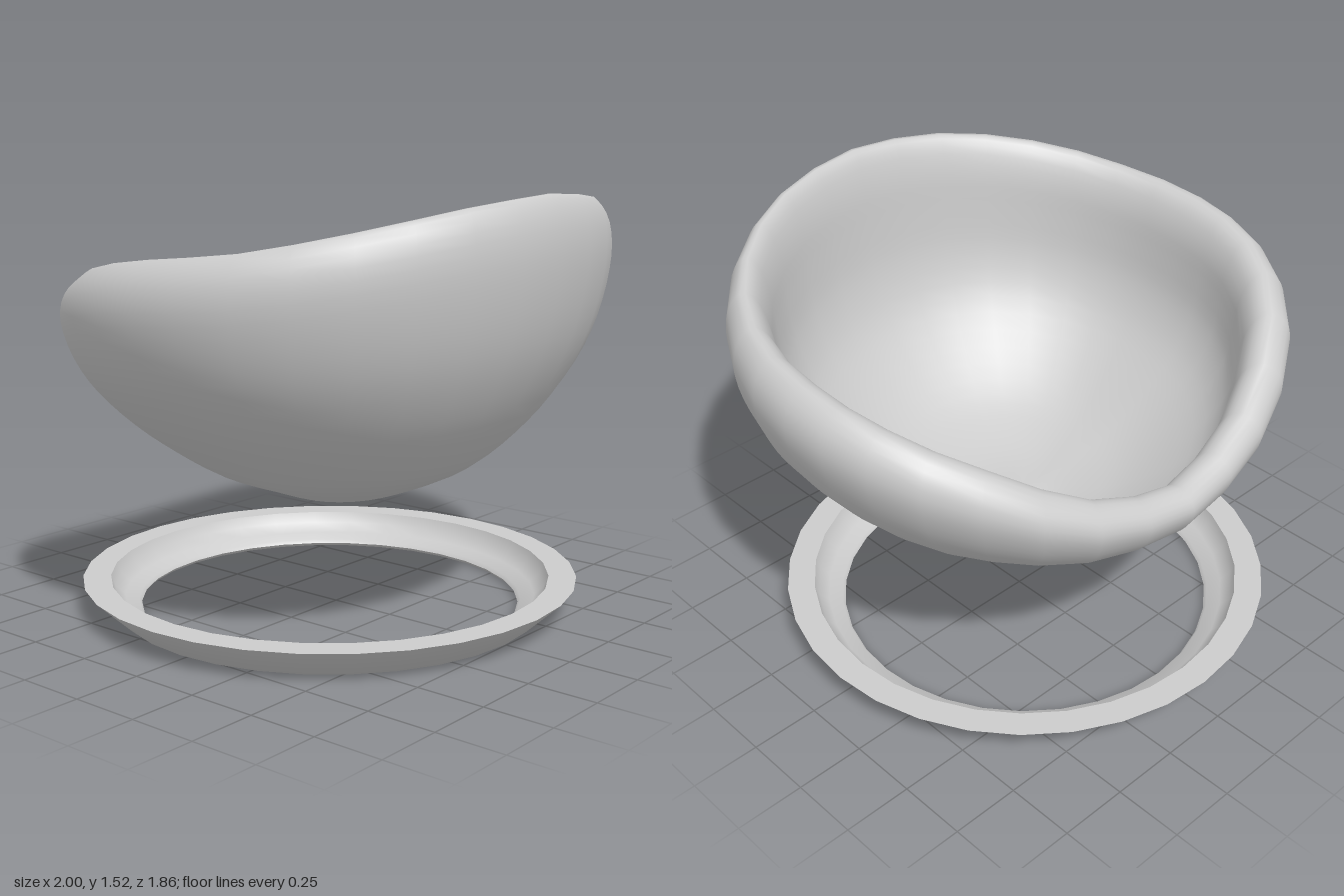
import * as THREE from 'three';
import { mergeVertices, toCreasedNormals } from 'three/addons/utils/BufferGeometryUtils.js';

const SIDES = 32;
const BASE_Y = 0.415;
const points = (list) => list.map(([x, y]) => new THREE.Vector2(x, y));

// Shell section: radius fraction and height fraction, from the underside
// up the outer wall, over the thick rounded rim and down the thin hollow
const section = new THREE.SplineCurve(points([
  [0, 0], [0.16, 0.01], [0.3, 0.057], [0.45, 0.125], [0.6, 0.235], [0.75, 0.37],
  [0.88, 0.525], [0.96, 0.675], [1, 0.825], [0.985, 0.935], [0.925, 1], [0.865, 0.97],
  [0.825, 0.87], [0.81, 0.73], [0.785, 0.57], [0.71, 0.41], [0.57, 0.26],
  [0.42, 0.145], [0.28, 0.08], [0.14, 0.04], [0, 0.03],
])).getPoints(60);

// Rim height from the low back to the high front, in equal steps of angle
const rim = new THREE.SplineCurve(points(
  [0.87, 0.97, 1.165, 1.28, 1.33, 1.365, 1.43, 1.495, 1.525].map((y, i) => [i, y])));

function bowlGeometry() {
  const n = section.length;
  const position = [];
  const index = [];
  for (let j = 0; j < SIDES; j++) {
    const a = (j / SIDES) * Math.PI * 2;
    const s = Math.sin(a);
    // Plan outline: slightly squarer at the back
    const bulge = 1 + (s < 0 ? 0.045 : 0.015) * Math.sin(2 * a) ** 2;
    const rx = Math.cos(a) * bulge;
    const rz = s * bulge * (s < 0 ? 0.825 : 0.93);
    const t = THREE.MathUtils.clamp(Math.asin(THREE.MathUtils.clamp(s, -1, 1)) / Math.PI + 0.5, 0, 1);
    const height = rim.getPoint(t).y - BASE_Y;
    section.forEach((p, i) => {
      // The front wall is fuller low down
      const r = p.x + 0.38 * Math.max(s, 0) * p.x * (1 - p.x);
      position.push(rx * r, BASE_Y + height * p.y, rz * r);
      if (i === n - 1) return;
      const p0 = j * n + i;
      const p1 = ((j + 1) % SIDES) * n + i;
      if (i < n - 2) index.push(p0, p0 + 1, p1 + 1);
      if (i > 0) index.push(p0, p1 + 1, p1);
    });
  }
  const geometry = new THREE.BufferGeometry();
  geometry.setAttribute('position', new THREE.Float32BufferAttribute(position, 3));
  geometry.setIndex(index);
  const merged = mergeVertices(geometry, 1e-5);
  merged.computeVertexNormals();
  return merged;
}

export function createModel() {
  const group = new THREE.Group();
  const material = new THREE.MeshStandardMaterial({ color: 0xcccccc });

  // Scooped bowl seat
  const bowl = new THREE.Mesh(bowlGeometry(), material);
  bowl.name = 'bowlSeat';
  group.add(bowl);

  // Flared support ring with a flat top and a dished inner wall
  const profile = points([
    [0.775, 0], [0.9, 0.115], [0.8, 0.115], [0.785, 0.075], [0.75, 0.042], [0.7, 0.025],
    [0.69, 0.012], [0.7, 0], [0.775, 0],
  ]);
  const ring = new THREE.Mesh(
    toCreasedNormals(new THREE.LatheGeometry(profile, SIDES), 0.9), material);
  ring.name = 'baseRing';
  ring.position.z = -0.03;
  group.add(ring);

  return group;
}
